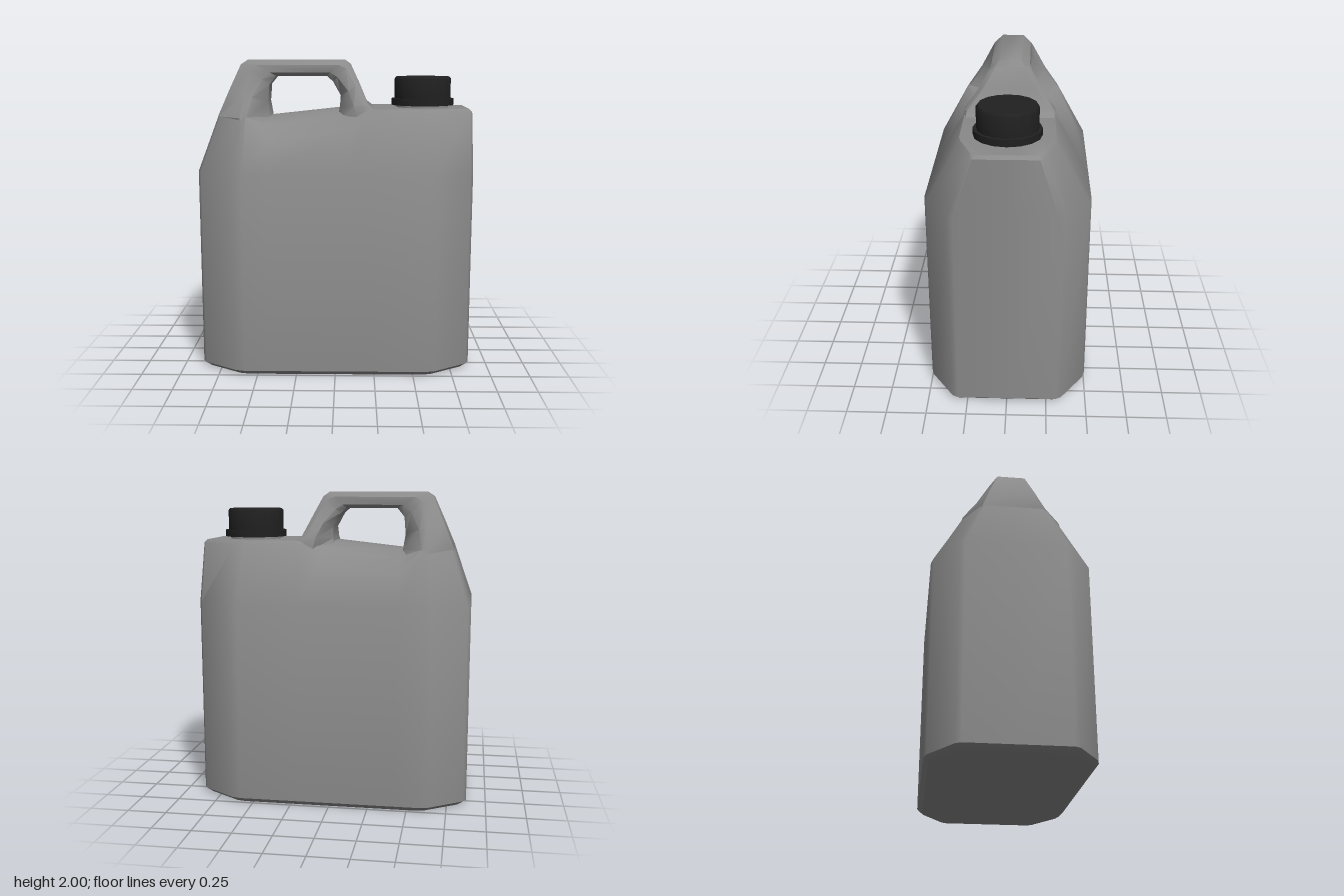
import * as THREE from 'three';
import { toCreasedNormals } from 'three/addons/utils/BufferGeometryUtils.js';

// Closes a half section (z >= 0, first and last point at z = 0) by mirroring it.
const closeRing = half => [...half, ...half.slice(1, -1).reverse().map(([x, y, z]) => [x, y, -z])];

// Skins a series of closed rings.
function loft(halves) {
  const rings = halves.map(closeRing);
  const n = rings[0].length;
  const index = [];
  for (let i = 0; i < rings.length - 1; i++) {
    for (let j = 0; j < n; j++) {
      const k = (j + 1) % n;
      const a = i * n + j, b = i * n + k, c = a + n, d = b + n;
      index.push(a, c, b, b, c, d);
    }
  }
  const geo = new THREE.BufferGeometry();
  geo.setAttribute('position', new THREE.Float32BufferAttribute(rings.flat(2), 3));
  geo.setIndex(index);
  return toCreasedNormals(geo, 0.75);
}

function bodyGeometry() {
  // Plan of the bevelled octagon, from right end over the front to left end
  const plan = [[0.875, 0], [0.875, 0.31], [0.855, 0.345], [0.64, 0.49], [0.58, 0.505], [0.2, 0.505],
    [0.08, 0.505], [-0.42, 0.505], [-0.58, 0.505], [-0.64, 0.49], [-0.855, 0.345], [-0.875, 0.31], [-0.875, 0]];
  const level = (y, sx, sz) => plan.map(([x, z]) => [x * sx, y, z * sz]);
  // Shoulder: flat on the spout side, dipping under the grip, sloped at the left
  const shoulder = [[0.875, 1.67, 0], [0.875, 1.67, 0.19], [0.86, 1.67, 0.21], [0.64, 1.67, 0.29],
    [0.58, 1.67, 0.302], [0.2, 1.67, 0.302], [0.08, 1.56, 0.362], [-0.42, 1.5, 0.395],
    [-0.57, 1.64, 0.318], [-0.61, 1.64, 0.302], [-0.745, 1.64, 0.21], [-0.76, 1.64, 0.185], [-0.76, 1.64, 0]];
  const rim = shoulder.map(([x, y, z], j) => {
    if (j === 6) return [0.08, 1.65, 0.25];
    if (j === 7) return [-0.42, 1.59, 0.26];
    return j < 6 ? [x - (j < 3 ? 0.02 : 0), 1.69, z * 0.94] : [x + 0.02, 1.64, z * 0.94];
  });
  const crown = rim.map(([x, y, z], j) => [x, j === 6 ? 1.69 : j === 7 ? 1.635 : y, z * 0.4]);
  return loft([
    level(0, 0.96, 0), level(0, 0.96, 0.94), level(0.03, 1, 1), level(1.3, 1, 1),
    shoulder, rim, crown, crown.map(([x, y]) => [x, y, 0]),
  ]);
}

function handleGeometry() {
  // Outer x,y; inner x,y; half widths outer, middle, inner; span of the middle
  const stations = [
    [-0.74, 1.50, -0.32, 1.50, 0.18, 0.34, 0.20, 0.40, 0.60],
    [-0.76, 1.64, -0.43, 1.63, 0.20, 0.315, 0.13, 0.46, 0.60],
    [-0.69, 1.81, -0.445, 1.73, 0.145, 0.22, 0.11, 0.42, 0.62],
    [-0.62, 1.97, -0.435, 1.84, 0.09, 0.14, 0.10, 0.32, 0.75],
    [-0.575, 2.00, -0.39, 1.895, 0.07, 0.122, 0.095, 0.32, 0.8],
    [0.055, 2.00, -0.06, 1.895, 0.07, 0.122, 0.095, 0.32, 0.8],
    [0.095, 1.97, -0.02, 1.86, 0.09, 0.135, 0.10, 0.25, 0.75],
    [0.15, 1.85, 0.03, 1.77, 0.165, 0.20, 0.11, 0.2, 0.6],
    [0.205, 1.72, 0.025, 1.70, 0.265, 0.285, 0.13, 0.15, 0.5],
    [0.265, 1.675, 0.00, 1.60, 0.28, 0.295, 0.2, 0.2, 0.5],
  ];
  return loft(stations.map(([ox, oy, ix, iy, a, w, b, m, k]) => {
    const at = (t, z) => [ox + (ix - ox) * t, oy + (iy - oy) * t, z];
    return [at(1, 0), at(1, b), at(k, w), at(m, w), at(0, a), at(0, 0)];
  }));
}

export function createModel() {
  const plastic = new THREE.MeshStandardMaterial({ color: 0x8a8a8a });
  plastic.name = 'grey plastic';
  const black = new THREE.MeshStandardMaterial({ color: 0x202020 });
  black.name = 'black plastic';

  const model = new THREE.Group();
  model.name = 'jerrycan';
  const add = (name, geo, mat) => {
    const mesh = new THREE.Mesh(geo, mat);
    mesh.name = name;
    model.add(mesh);
    return mesh;
  };

  add('body', bodyGeometry(), plastic);
  add('handle', handleGeometry(), plastic);

  // Spout neck and screw cap with its collar
  add('neck', new THREE.CylinderGeometry(0.17, 0.17, 0.05, 16), plastic).position.set(0.57, 1.7, 0);
  const profile = [[0, 1.705], [0.205, 1.705], [0.205, 1.748], [0.185, 1.748], [0.185, 1.877], [0.175, 1.89], [0, 1.89]]
    .map(([r, y]) => new THREE.Vector2(r, y));
  const cap = toCreasedNormals(new THREE.LatheGeometry(profile, 16), 0.7);
  add('cap', cap, black).position.x = 0.57;

  return model;
}
